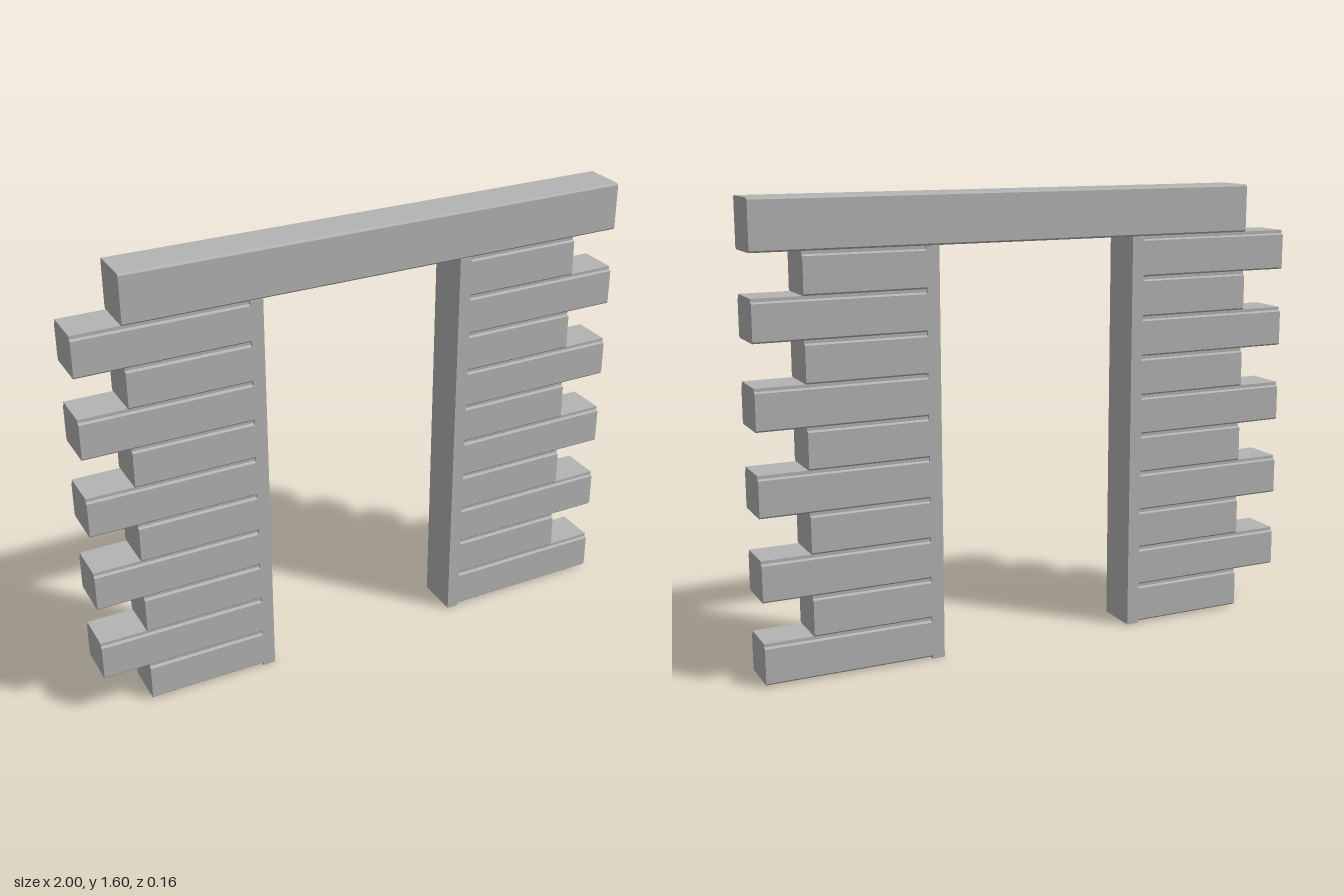
import * as THREE from 'three';

const HALF_DEPTH = 0.08;
const PITCH = 0.1423;

// Extrudes a (z, y) cross-section along x from x0 to x1
function bar(points, x0, x1, y, name, material) {
  const shape = new THREE.Shape(points.map(([z, h]) => new THREE.Vector2(z, h)));
  const geometry = new THREE.ExtrudeGeometry(shape, { depth: x1 - x0, bevelEnabled: false });
  geometry.rotateY(Math.PI / 2);
  const mesh = new THREE.Mesh(geometry, material);
  mesh.position.set(x0, y, 0);
  mesh.name = name;
  return mesh;
}

// Mirrors the +z half of a cross-section, listed from bottom to top
const mirrored = (half) => [...half, ...half.map(([z, h]) => [-z, h]).reverse()];

export function createModel() {
  const group = new THREE.Group();
  group.name = 'logDoorway';
  const timber = new THREE.MeshStandardMaterial({ color: 0xb4b4b4 });
  timber.name = 'grey timber';

  // Log: chamfered underside, full-width body, narrower tongue on top
  const d = HALF_DEPTH;
  const logProfile = mirrored([
    [d - 0.006, 0], [d, 0.006], [d, 0.126], [d - 0.009, 0.131], [d - 0.009, PITCH],
  ]);

  // Staggered wall logs on both sides of the opening
  for (let row = 0; row < 10; row++) {
    const y = 0.007 + row * PITCH;
    const even = row % 2 === 0;
    group.add(bar(logProfile, -(even ? 0.835 : 1), -0.4, y, 'rightWallLog', timber));
    group.add(bar(logProfile, 0.4, even ? 1 : 0.83, y, 'leftWallLog', timber));
  }

  // Door posts
  for (const side of [-1, 1]) {
    const post = new THREE.Mesh(new THREE.BoxGeometry(0.045, 1.43, 2 * d), timber);
    post.position.set(side * 0.3875, 0.715, 0);
    post.name = side > 0 ? 'leftPost' : 'rightPost';
    group.add(post);
  }

  // Lintel beam across the top
  const lintelProfile = mirrored([
    [d - 0.006, 0], [d, 0.006], [d, 0.164], [d - 0.006, 0.17],
  ]);
  group.add(bar(lintelProfile, -0.835, 1, 1.43, 'lintel', timber));

  return group;
}
